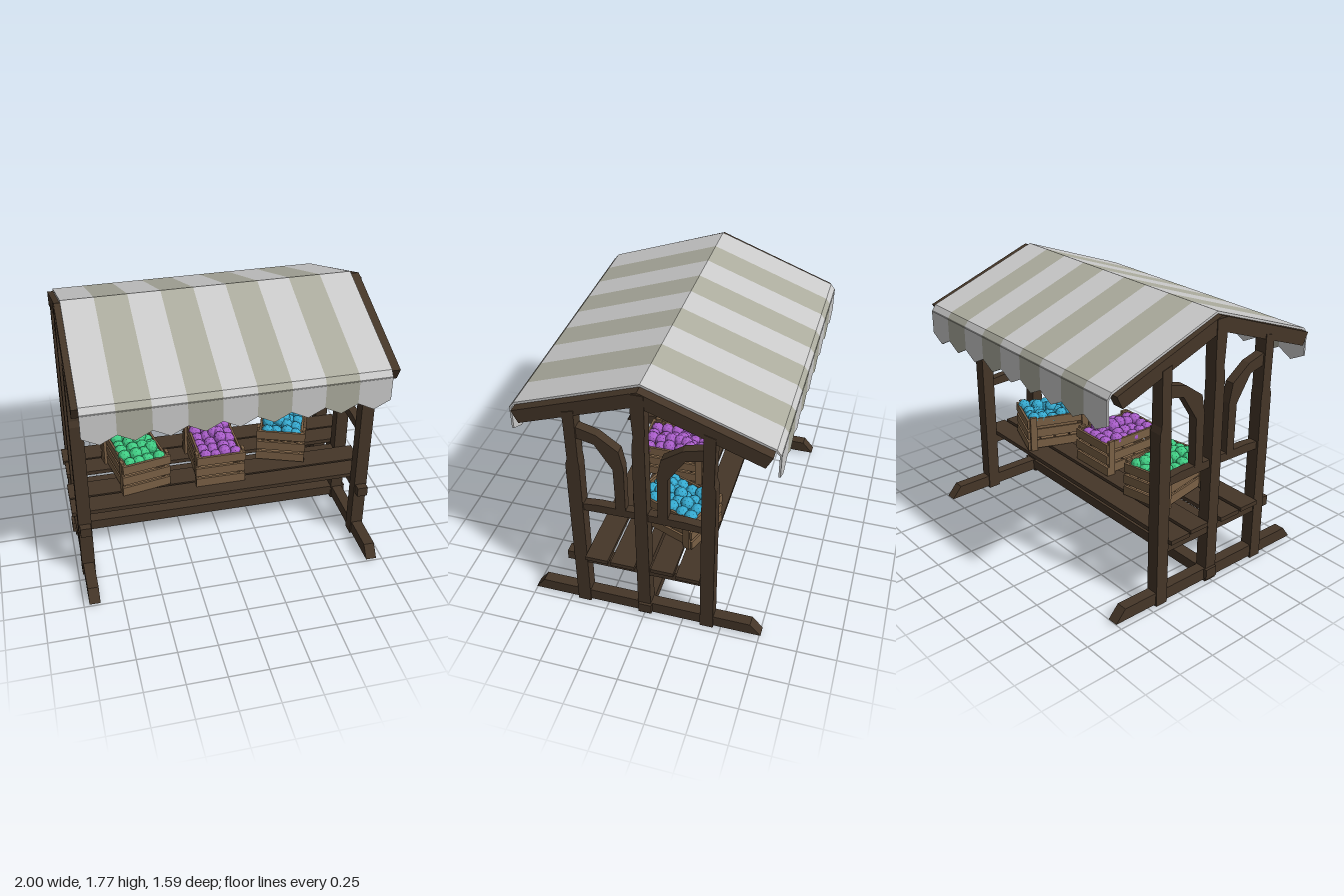
import * as THREE from 'three';

const mat = (color, extra = {}) => new THREE.MeshStandardMaterial({ color, flatShading: true, ...extra });
const WOOD = mat(0x453628);
const CRATE = mat(0x7a6045);
const CLOTH = [mat(0xcccccc, { side: THREE.DoubleSide }), mat(0xadad9f, { side: THREE.DoubleSide })];

function add(parent, name, geometry, material, x = 0, y = 0, z = 0) {
  const mesh = new THREE.Mesh(geometry, material);
  mesh.name = name;
  mesh.position.set(x, y, z);
  parent.add(mesh);
  return mesh;
}

const box = (parent, name, size, pos, material = WOOD) =>
  add(parent, name, new THREE.BoxGeometry(...size), material, ...pos);

// Extrudes an outline given as [z, y] points, centred along x
function sideProfile(points, width) {
  const shape = new THREE.Shape(points.map(p => new THREE.Vector2(...p)));
  const g = new THREE.ExtrudeGeometry(shape, { depth: width, bevelEnabled: false });
  return g.translate(0, 0, -width / 2).rotateY(-Math.PI / 2);
}

function seeded(seed) {
  return () => (seed = (seed * 16807) % 2147483647) / 2147483647;
}

// One end frame: foot, posts, rafters, rails and curved braces
function endFrame() {
  const frame = new THREE.Group();
  frame.name = 'endFrame';
  add(frame, 'foot', sideProfile([[-0.76, 0.015], [0.75, 0.015], [0.69, 0.095], [-0.69, 0.095]], 0.07), WOOD);
  for (const s of [-1, 1]) {
    const mirror = pts => pts.map(([z, y]) => [z * s, y]);
    add(frame, 'post', sideProfile(mirror([
      [0.367, 0], [0.452, 0], [0.452, 1.16], [0.44, 1.2], [0.445, 1.54], [0.375, 1.56], [0.372, 1.2], [0.367, 1.16],
    ]), 0.084), WOOD);
    add(frame, 'rafter', sideProfile(mirror([
      [0, 1.665], [0.72, 1.4], [0.76, 1.48], [0, 1.76],
    ]), 0.075), WOOD);
    add(frame, 'curvedBrace', sideProfile(mirror([
      [0.1, 0.85], [0.1, 1.19], [0.125, 1.31], [0.255, 1.405], [0.38, 1.44],
      [0.38, 1.36], [0.27, 1.335], [0.165, 1.17], [0.16, 0.85],
    ]), 0.06), WOOD);
    add(frame, 'upperRail', sideProfile(mirror([
      [0, 0.81], [0.38, 0.8], [0.38, 0.85], [0.27, 0.862], [0, 0.862],
    ]), 0.055), WOOD);
  }
  add(frame, 'middlePost', sideProfile([
    [-0.042, 0], [0.042, 0], [0.04, 1.38], [0.03, 1.45], [0.04, 1.62], [0.04, 1.745],
    [-0.04, 1.745], [-0.04, 1.5], [-0.035, 1.4],
  ], 0.084), WOOD);
  box(frame, 'shelfSupport', [0.07, 0.065, 0.9], [0, 0.387, 0.05]);
  return frame;
}

// Slatted crate with a heaped layer of round produce
function crate(color, seed) {
  const g = new THREE.Group();
  const rand = seeded(seed);
  const W = 0.33, D = 0.46;
  for (const y of [0.04, 0.122, 0.205]) {
    for (const s of [-1, 1]) {
      box(g, 'sideSlat', [0.014, 0.062, D - 0.02], [s * (W / 2 - 0.025), y, 0], CRATE);
      box(g, 'endSlat', [W, 0.062, 0.016], [(rand() - 0.5) * 0.01, y, s * (D / 2 - 0.008)], CRATE);
    }
  }
  for (const sx of [-1, 1]) for (const sz of [-1, 1]) {
    box(g, 'crateUpright', [0.02, 0.25, 0.045], [sx * (W / 2 - 0.01), 0.125, sz * 0.185], CRATE);
  }
  for (let i = 0; i < 4; i++) {
    box(g, 'crateFloor', [W - 0.06, 0.012, 0.095], [0, 0.01, (i - 1.5) * 0.108], CRATE);
  }
  const skin = mat(color);
  const ball = new THREE.IcosahedronGeometry(0.043, 1);
  for (let i = 0; i < 4; i++) for (let j = 0; j < 6; j++) {
    const m = add(g, 'produce', ball, skin,
      (i - 1.5) * 0.066 + (rand() - 0.5) * 0.02,
      0.2 + rand() * 0.035,
      (j - 2.5) * 0.07 + (rand() - 0.5) * 0.02);
    m.rotation.set(rand() * 3, rand() * 3, rand() * 3);
  }
  for (let k = 0; k < 5; k++) {
    add(g, 'produce', ball, skin, (rand() - 0.4) * 0.17, 0.248, (rand() - 0.5) * 0.3);
  }
  return g;
}

// Striped cloth roof with a pointed valance on both eaves
function canopy() {
  const g = new THREE.Group();
  g.name = 'canopy';
  const x0 = -0.93, N = 9, w = 1.83 / N;
  const outer = [[-0.797, 1.455], [-0.767, 1.495], [0, 1.775], [0.767, 1.495], [0.797, 1.455]];
  const inner = [[0.783, 1.455], [0.76, 1.482], [0, 1.76], [-0.76, 1.482], [-0.783, 1.455]];
  const roof = sideProfile([...outer, ...inner], w);
  const flap = new THREE.Shape([[-w / 2, 1.46], [-w / 2, 1.305], [0, 1.252], [w / 2, 1.305], [w / 2, 1.46]]
    .map(p => new THREE.Vector2(...p)));
  const valance = new THREE.ExtrudeGeometry(flap, { depth: 0.012, bevelEnabled: false }).translate(0, 0, -0.006);
  for (let i = 0; i < N; i++) {
    const x = x0 + (i + 0.5) * w;
    add(g, 'roofStripe', roof, CLOTH[i % 2], x);
    for (const s of [-1, 1]) add(g, 'valanceFlap', valance, CLOTH[i % 2], x, 0, s * 0.79);
  }
  return g;
}

export function createModel() {
  const model = new THREE.Group();
  model.name = 'marketStall';

  for (const [name, x] of [['leftFrame', 0.92], ['rightFrame', -0.93]]) {
    const f = endFrame();
    f.name = name;
    f.position.x = x;
    model.add(f);
  }

  // Long beams joining the two frames
  box(model, 'stretcher', [1.97, 0.07, 0.085], [-0.005, 0.06, -0.008]);
  box(model, 'shelfBeam', [1.9, 0.08, 0.07], [0, 0.385, 0]);
  box(model, 'ridgeBeam', [1.8, 0.06, 0.06], [-0.01, 1.7, 0], CLOTH[1]);

  // Shelf planks
  [[-0.295, 0.15], [-0.13, 0.145], [0.122, 0.155], [0.29, 0.145]].forEach(([z, d], i) =>
    box(model, 'shelfPlank', [i === 1 ? 1.98 : 2, 0.028, d], [0, 0.432 + (i % 2) * 0.004, z]));

  // Crates of produce
  const crates = [
    ['greenCrate', 0x3fcb82, -0.53, 0.01, 0.19],
    ['purpleCrate', 0xa85cc8, 0.0, 0.05, 0.0],
    ['blueCrate', 0x35a9cf, 0.535, -0.1, -0.36],
  ];
  crates.forEach(([name, color, x, z, turn], i) => {
    const c = crate(color, 77 + i * 1301);
    c.name = name;
    c.position.set(x, 0.447, z);
    c.rotation.y = turn;
    model.add(c);
  });

  model.add(canopy());
  return model;
}
